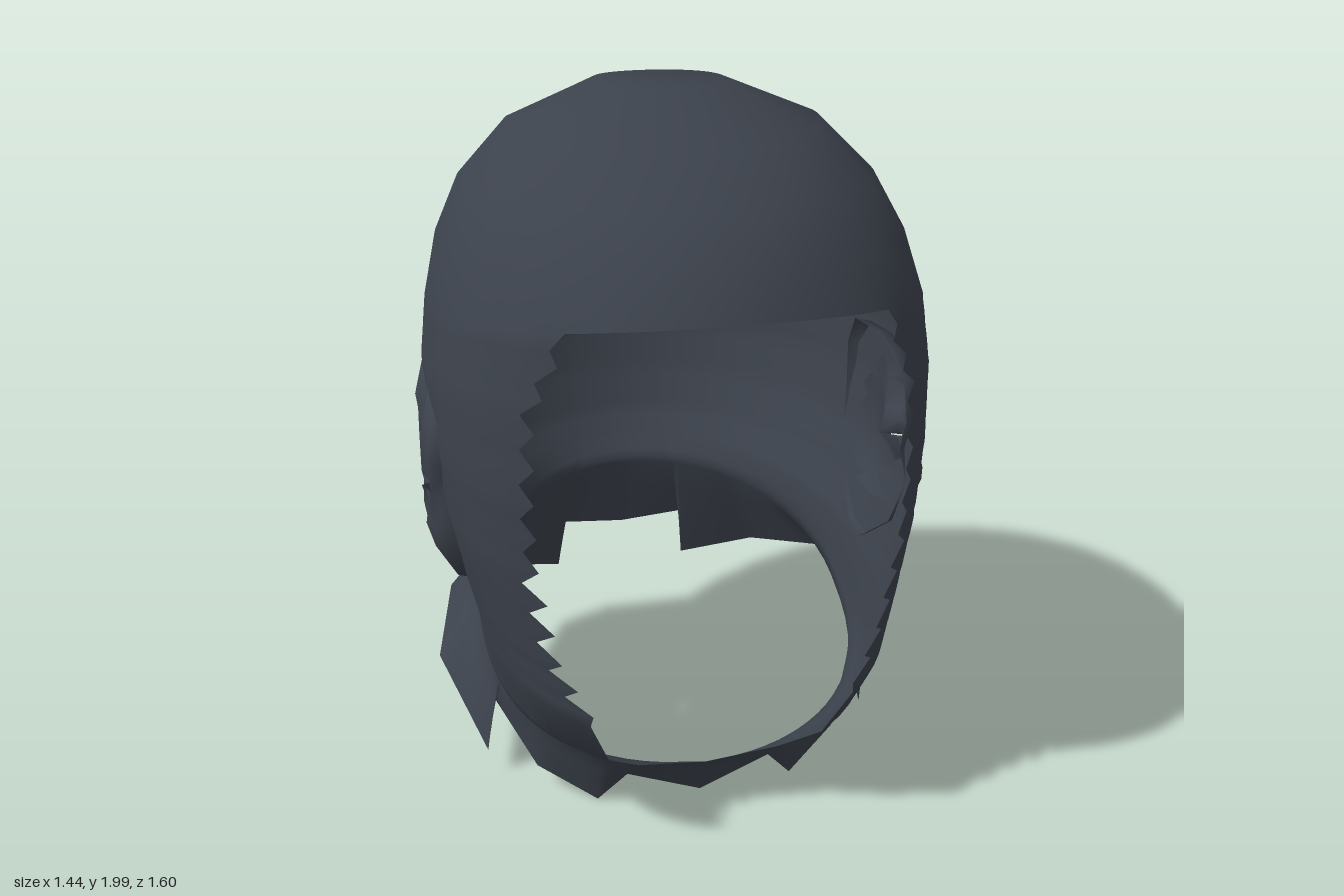
import * as THREE from 'three';
import { mergeVertices } from 'three/addons/utils/BufferGeometryUtils.js';

const fabric = new THREE.MeshStandardMaterial({ color: 0x3c424c, side: THREE.DoubleSide });
fabric.name = 'darkFabric';

// Skin grids of points (rows top to bottom, columns left to right seen from outside) as one smooth mesh,
// leaving out the cells whose first corner lies in a hole
function loft(name, grids, inHole = () => false) {
  const points = [], index = [];
  for (const rows of grids) {
    const n = rows[0].length, first = points.length;
    for (let i = 0; i < rows.length - 1; i++) {
      for (let j = 0; j < n - 1; j++) {
        if (inHole(mix(rows[i][j], rows[i + 1][j + 1], 0.5))) continue;
        const a = first + i * n + j, b = a + n;
        index.push(a, b, b + 1, a, b + 1, a + 1);
      }
    }
    points.push(...rows.flat());
  }
  let geo = new THREE.BufferGeometry();
  geo.setAttribute('position', new THREE.Float32BufferAttribute(points.flat(), 3));
  geo.setIndex(index);
  geo = mergeVertices(geo, 1e-4);
  geo.computeVertexNormals();
  const mesh = new THREE.Mesh(geo, fabric);
  mesh.name = name;
  return mesh;
}

const mix = (a, b, t) => a.map((v, i) => v + (b[i] - v) * t);

// Tilted rings from crown to neck: front z, front y, back z, back y, half width,
// face opening half width, lift of the sides, power of the front curve (lower is squarer)
const RINGS = [
  [-0.06, 1.985, -0.06, 1.985, 0, 0, 0, 1],
  [0.17, 2.0, -0.31, 1.98, 0.18, 0, 0.005, 1],
  [0.47, 1.89, -0.58, 1.81, 0.42, 0, 0.05, 1],
  [0.63, 1.79, -0.69, 1.67, 0.56, 0, 0.025, 0.98],
  [0.74, 1.68, -0.76, 1.53, 0.63, 0, 0, 0.92],
  [0.80, 1.57, -0.80, 1.40, 0.668, 0.40, -0.05, 0.82],
  [0.82, 1.35, -0.80, 1.22, 0.688, 0.49, -0.02, 0.78],
  [0.835, 1.10, -0.785, 1.05, 0.685, 0.50, 0, 0.78],
  [0.825, 0.85, -0.75, 0.92, 0.665, 0.49, 0, 0.77],
  [0.81, 0.62, -0.70, 0.79, 0.62, 0.45, 0, 0.75],
  [0.79, 0.44, -0.65, 0.71, 0.585, 0.36, 0, 0.74],
  [0.68, 0.28, -0.62, 0.67, 0.57, 0.30, 0, 0.74],
  [0.56, 0.21, -0.61, 0.65, 0.565, 0.20, 0, 0.74],
  [0.50, 0.18, -0.61, 0.63, 0.56, 0, 0, 0.74],
];
const BROW = 5, CHIN = 10, NECK = RINGS[RINGS.length - 1];

// Point on a ring; angle 0 is the front
function ringPoint([zf, yf, zb, yb, w, , lift, power], angle) {
  const c = Math.cos(angle), s = Math.sin(angle);
  const k = c > 0 ? c ** power : -(Math.abs(c) ** 0.94);
  const t = (1 - k) / 2;
  return [w * s, yf + (yb - yf) * t + lift * s * s, zf + (zb - zf) * t];
}

// Torn hem of the neck on one side: angle in degrees on the neck ring, then x, y, z
const HEM = [
  [0, 0, 0.04, 0.43], [22, 0.21, 0.11, 0.41], [31, 0.29, 0.01, 0.37],
  [50, 0.45, 0.09, 0.28], [72, 0.55, 0.24, 0.13], [75, 0.58, 0.09, 0.17],
  [97, 0.69, 0.30, -0.05], [128, 0.62, 0.37, -0.36], [147, 0.45, 0.30, -0.60],
  [161, 0.22, 0.23, -0.69], [163, 0.20, 0.41, -0.65], [180, 0, 0.39, -0.66],
];

// The hem refined and mirrored all the way round; its angles also space the hood's columns
function fullHem() {
  const half = [];
  for (let i = 0; i < HEM.length - 1; i++) {
    for (let s = 0; s < 4; s++) half.push(mix(HEM[i], HEM[i + 1], s / 4));
  }
  const other = half.slice().reverse().map(([a, x, y, z]) => [360 - a, -x, y, z]);
  return [...half, HEM[HEM.length - 1], ...other];
}

function makeHood() {
  const hem = fullHem();
  const angles = (ring) => {
    const start = Math.asin(ring[5] / ring[4]);
    return hem.map(([a]) => start + (2 * Math.PI - 2 * start) * a / 360);
  };

  // Crown, closed across the brow
  const crownAngles = angles(RINGS[BROW]);
  const start = crownAngles[0];
  for (let j = 1; j <= 12; j++) crownAngles.push(2 * Math.PI - start + 2 * start * j / 12);
  const crown = RINGS.slice(0, BROW + 1).map((r) => crownAngles.map((a) => ringPoint(r, a)));

  // Sides and back, with a ragged edge round the face
  const sides = [];
  for (let i = BROW; i < RINGS.length - 1; i++) {
    const steps = i < CHIN ? 5 : 1;
    for (let s = 0; s < steps; s++) {
      const ring = mix(RINGS[i], RINGS[i + 1], s / steps);
      const size = i < 8 ? 0.016 : 0.024;
      if (i < CHIN && sides.length > 0) ring[5] += sides.length % 2 ? size : -size;
      sides.push(angles(ring).map((a) => ringPoint(ring, a)));
    }
  }
  sides.push(angles(NECK).map((a) => ringPoint(NECK, a)));

  // Flared neck skirt
  const neckRow = sides[sides.length - 1];
  const skirt = [0, 0.33, 0.67, 1].map((t) =>
    hem.map(([, x, y, z], j) => mix(neckRow[j], [x, y, z], t)));

  // Open behind each ear cover
  const behindEar = ([x, y, z]) =>
    Math.abs(x) > 0.5 && ((z - 0.02) / 0.15) ** 2 + ((y - 0.95) / 0.22) ** 2 < 1;
  return loft('hood', [crown, sides, skirt], behindEar);
}

// Ear cover outline as z, y
const EAR = [
  [0.20, 0.95], [0.24, 1.05], [0.22, 1.17], [0.11, 1.23], [0, 1.25], [-0.15, 1.24],
  [-0.21, 1.15], [-0.22, 1.0], [-0.21, 0.85], [-0.10, 0.72], [0, 0.64], [0.10, 0.63],
  [0.24, 0.74], [0.26, 0.87], [0.20, 0.95],
];

// Crumpled ear cover: low rim, a sunken fold across the middle and a fuller lower lobe
function makeEar(side) {
  const rings = [[1, -0.03], [0.96, 0.018], [0.75, 0.03], [0.5, 0.022], [0.25, -0.01], [0, -0.06]];
  const rows = rings.map(([scale, lift], i) => EAR.map(([oz, oy], j) => {
    const z = 0.11 + (oz - 0.11) * scale;
    const y = 0.97 + (oy - 0.97) * scale;
    const base = 0.68 - Math.max(0, 0.88 - y) * 0.28 - Math.max(0, -z) * 0.06
      - Math.max(0, y - 1.08) * 0.08;
    const lobe = 0.033 * Math.exp(-(((y - 0.84) / 0.07) ** 2) - ((z - 0.1) / 0.12) ** 2);
    const folded = i > 1 && i < 5 && y > 0.92 && z > -0.02;
    const crumple = folded ? 0.018 * Math.sin(j * 2.4 + i * 1.9) : 0;
    return [side * (base + lift + lobe + crumple), y, z];
  }));
  return loft(side > 0 ? 'leftEarCover' : 'rightEarCover', [side > 0 ? rows : rows.reverse()]);
}

export function createModel() {
  const group = new THREE.Group();
  group.name = 'balaclava';
  group.add(makeHood(), makeEar(1), makeEar(-1));
  return group;
}
